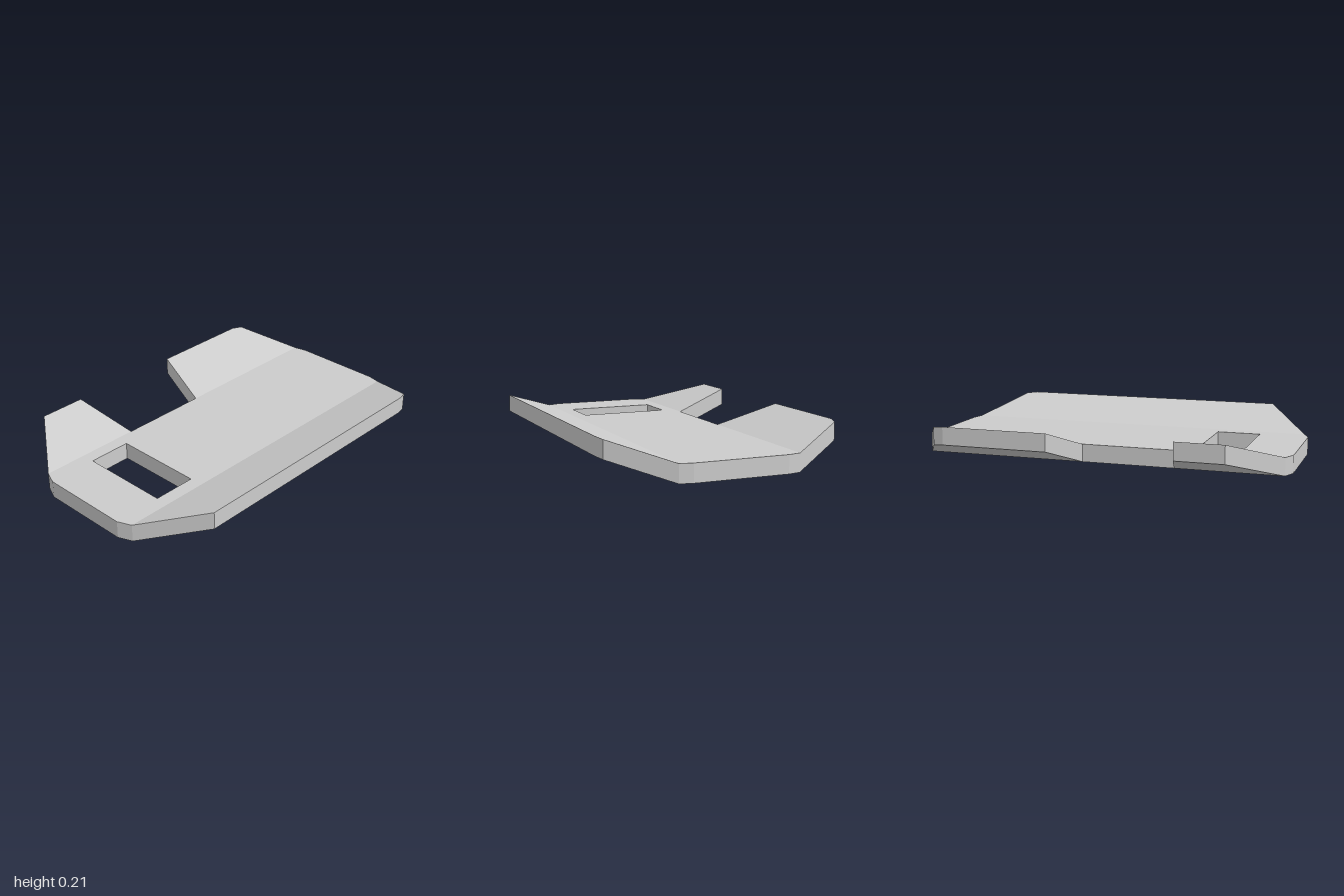
import * as THREE from 'three';
import { mergeGeometries } from 'three/addons/utils/BufferGeometryUtils.js';

const FOLD = 0.318, EDGE = 0.637, THICK = 0.095, RISE = 0.11;

// Height of the underside: flat in the middle, rising towards both sides
const lift = (x) => Math.max(0, Math.abs(x) - FOLD) * RISE / (EDGE - FOLD);

// Plan corners [x, z], clockwise seen from above
const backCorner = [[FOLD, -0.985], [0.62, -0.81], [EDGE, -0.75]];
const frontCorner = [[EDGE, 0.735], [FOLD, 0.97]];
const notchBack = [[-FOLD, -0.1], [-EDGE, -0.18]];
const notchFront = [[-EDGE, 0.48], [-FOLD, 0.4]];
const backEdge = [[-0.25, -1], [0.25, -1]];
const frontEdge = [[0.245, 1], [-0.245, 1]];
const slot = [[-0.245, 0.5], [-0.245, 0.735], [0.245, 0.735], [0.245, 0.5]];
const mirror = (points) => points.map(([x, z]) => [-x, z]).reverse();

const toShape = (points) => points.map(([x, z]) => new THREE.Vector2(x, -z));

// Upper and lower skins of one flat panel
function panelGeometry(points, hole) {
  const shape = new THREE.Shape(toShape(points));
  if (hole) shape.holes.push(new THREE.Path(toShape(hole)));
  const skins = [THICK, 0].map((height) => {
    const skin = new THREE.ShapeGeometry(shape).rotateX(-Math.PI / 2);
    const p = skin.attributes.position;
    for (let i = 0; i < p.count; i++) p.setY(i, lift(p.getX(i)) + height);
    if (height === 0) skin.index.array.reverse();
    const flat = skin.toNonIndexed();
    flat.deleteAttribute('uv');
    flat.computeVertexNormals();
    return flat;
  });
  return mergeGeometries(skins);
}

// Upright wall that follows a closed plan outline
function wallGeometry(points) {
  const pos = [];
  points.forEach(([ax, az], i) => {
    const [bx, bz] = points[(i + 1) % points.length];
    const a0 = [ax, lift(ax), az], a1 = [ax, lift(ax) + THICK, az];
    const b0 = [bx, lift(bx), bz], b1 = [bx, lift(bx) + THICK, bz];
    pos.push(...a0, ...a1, ...b1, ...a0, ...b1, ...b0);
  });
  const geo = new THREE.BufferGeometry();
  geo.setAttribute('position', new THREE.Float32BufferAttribute(pos, 3));
  geo.computeVertexNormals();
  return geo;
}

export function createModel() {
  const group = new THREE.Group();
  group.name = 'bentPlate';
  const material = new THREE.MeshStandardMaterial({ color: 0xcccccc, flatShading: true });
  const add = (name, geometry) => {
    const mesh = new THREE.Mesh(geometry, material);
    mesh.name = name;
    group.add(mesh);
  };

  const backLeftToFront = [...backCorner, ...frontCorner];
  const rightFront = [...mirror(frontCorner), ...notchFront];
  const rightBack = [...notchBack, ...mirror(backCorner)];

  // Flat middle with the slot
  add('middlePanel', panelGeometry([
    ...backEdge, backCorner[0], frontCorner[1], ...frontEdge,
    [-FOLD, 0.97], notchFront[1], notchBack[0], [-FOLD, -0.985],
  ], slot));

  // Raised sides; the right one is split by the notch
  add('leftWing', panelGeometry(backLeftToFront));
  add('rightFrontWing', panelGeometry(rightFront));
  add('rightBackWing', panelGeometry(rightBack));

  // Outer rim and slot walls
  add('outerRim', wallGeometry([
    ...backEdge, ...backLeftToFront, ...frontEdge, ...rightFront, ...rightBack,
  ]));
  add('slotWalls', wallGeometry(slot));
  return group;
}
